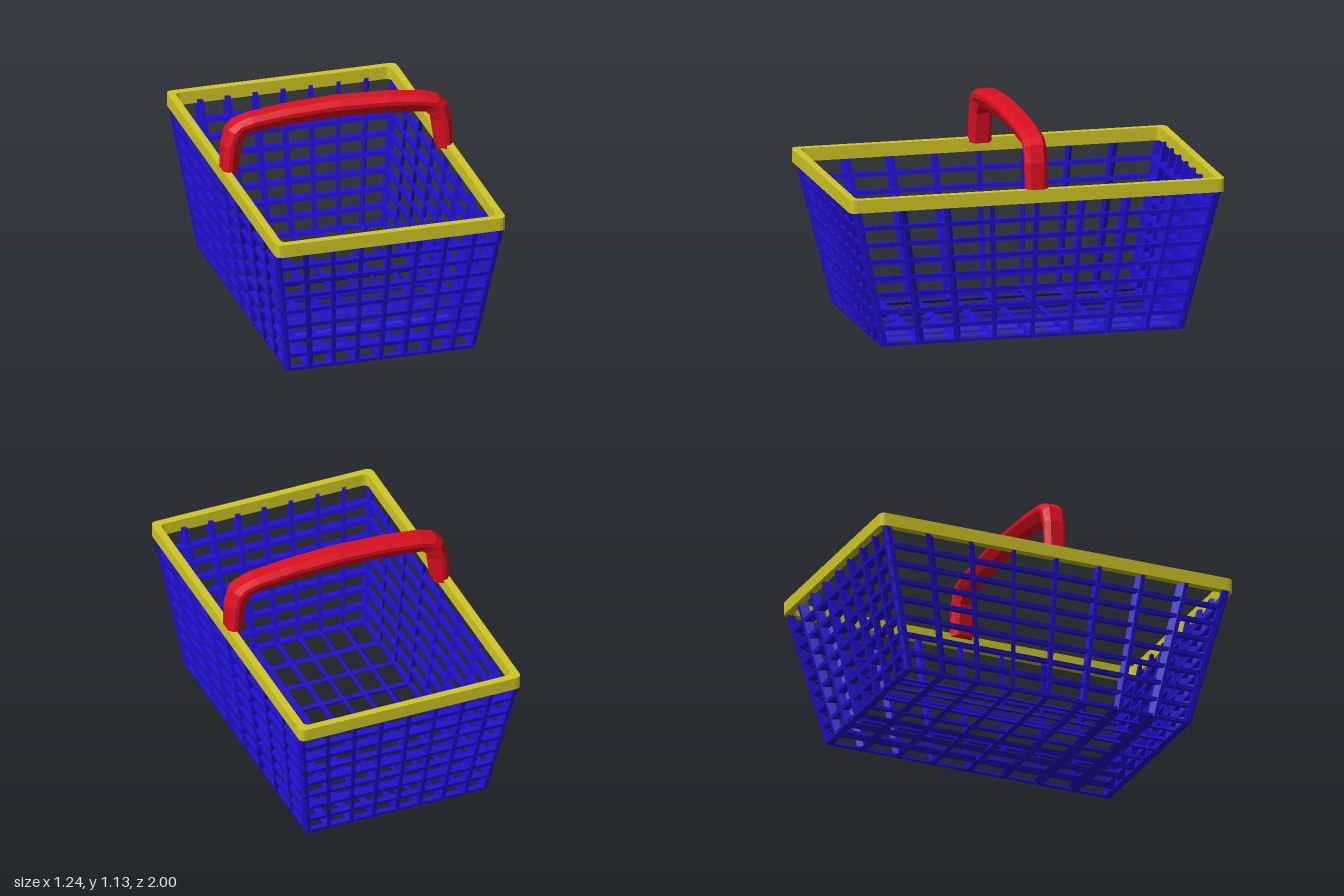
import * as THREE from 'three';
import { mergeGeometries } from 'three/addons/utils/BufferGeometryUtils.js';

const H = 0.74;        // wall height below the rim
const INNER = 0.955;   // inner shell relative to the outer shell
const halfX = (y) => 0.51 + 0.105 * y / H;
const halfZ = (y) => 0.81 + 0.17 * y / H;

// Flat-shaded solid through convex loops of [x, y, z], capped at both ends.
function loft(loops) {
  const tris = [];
  const n = loops[0].length;
  for (let i = 0; i < loops.length - 1; i++) {
    const a = loops[i], b = loops[i + 1];
    for (let j = 0; j < n; j++) {
      const k = (j + 1) % n;
      tris.push([a[j], a[k], b[k]], [a[j], b[k], b[j]]);
    }
  }
  const first = loops[0], last = loops[loops.length - 1];
  for (let j = 1; j < n - 1; j++) {
    tris.push([first[0], first[j + 1], first[j]], [last[0], last[j], last[j + 1]]);
  }
  // Turn the solid outward if its signed volume is negative.
  let volume = 0;
  for (const t of tris) {
    const [a, b, c] = t.map((p) => new THREE.Vector3(...p));
    volume += a.dot(b.cross(c));
  }
  if (volume < 0) tris.forEach((t) => t.reverse());
  const geo = new THREE.BufferGeometry();
  geo.setAttribute('position', new THREE.Float32BufferAttribute(tris.flat(2), 3));
  geo.computeVertexNormals();
  return geo;
}

function roundedRect(target, x, z, r) {
  target.moveTo(-x + r, -z);
  target.lineTo(x - r, -z);
  target.quadraticCurveTo(x, -z, x, -z + r);
  target.lineTo(x, z - r);
  target.quadraticCurveTo(x, z, x - r, z);
  target.lineTo(-x + r, z);
  target.quadraticCurveTo(-x, z, -x, z - r);
  target.lineTo(-x, -z + r);
  target.quadraticCurveTo(-x, -z, -x + r, -z);
  return target;
}

export function createModel() {
  const group = new THREE.Group();
  const blue = new THREE.MeshStandardMaterial({ color: 0x2010d0 });
  const yellow = new THREE.MeshStandardMaterial({ color: 0xd0c824 });
  const red = new THREE.MeshStandardMaterial({ color: 0xdd1020 });
  const add = (name, geo, material) => {
    const mesh = new THREE.Mesh(geo, material);
    mesh.name = name;
    group.add(mesh);
  };

  // Upright slats, leaning with the walls
  const w = 0.011;
  const ends = [0, 0.76];
  const uprights = [];
  for (const side of [-1, 1]) {
    for (let i = -3; i <= 3; i++) {
      const f = i / 4;
      uprights.push(loft(ends.map((y) => {
        const x = f * halfX(y), z = side * halfZ(y);
        return [[x - w, y, z], [x + w, y, z], [x * INNER + w, y, z * INNER], [x * INNER - w, y, z * INNER]];
      })));
      uprights.push(loft(ends.map((y) => {
        const x = side * halfX(y), z = f * halfZ(y);
        return [[x, y, z - w], [x, y, z + w], [x * INNER, y, z * INNER + w], [x * INNER, y, z * INNER - w]];
      })));
    }
  }
  add('uprightSlats', mergeGeometries(uprights), blue);

  // Corner posts with a chamfered outer edge
  const posts = [];
  for (const sx of [-1, 1]) {
    for (const sz of [-1, 1]) {
      posts.push(loft(ends.map((y) => {
        const x = halfX(y), z = halfZ(y), c = 0.012;
        return [[x - c, z], [x, z - c], [x, z - 0.04], [x - 0.028, z - 0.04], [x - 0.028, z]]
          .map(([px, pz]) => [sx * px, y, sz * pz]);
      })));
    }
  }
  add('cornerPosts', mergeGeometries(posts), blue);

  // Horizontal rings, mitred at the corners
  const rings = [];
  for (let level = 0; level < 8; level++) {
    const y0 = level === 0 ? 0 : level * H / 8 - 0.008;
    const y1 = y0 + (level === 0 ? 0.016 : 0.021);
    const corner = (sx, sz) => [[y0, 1], [y1, 1], [y1, INNER], [y0, INNER]].map(([y, s]) => {
      const c = level === 0 ? 0.004 : 0.002;
      return [sx * (halfX(y) - c) * s, y, sz * (halfZ(y) - c) * s];
    });
    for (const s of [-1, 1]) {
      rings.push(loft([corner(-1, s), corner(1, s)]));
      rings.push(loft([corner(s, -1), corner(s, 1)]));
    }
  }
  add('wallRings', mergeGeometries(rings), blue);

  // Floor grid
  const floor = [];
  const t = 0.016;
  for (let i = -3; i <= 3; i++) {
    const x = i / 4 * 0.51, z = i / 4 * 0.81;
    floor.push(loft([-0.79, 0.79].map((e) =>
      [[x - w, 0, e], [x + w, 0, e], [x * INNER + w, t, e], [x * INNER - w, t, e]])));
    floor.push(loft([-0.5, 0.5].map((e) =>
      [[e, 0, z - 0.016], [e, 0, z + 0.016], [e, t, z * INNER + 0.016], [e, t, z * INNER - 0.016]])));
  }
  add('floorGrid', mergeGeometries(floor), blue);

  // Rim band
  const band = roundedRect(new THREE.Shape(), 0.62, 1, 0.035);
  band.holes.push(roundedRect(new THREE.Path(), 0.58, 0.96, 0.03));
  const rim = new THREE.ExtrudeGeometry(band, { depth: 0.07, bevelEnabled: false, curveSegments: 4 });
  rim.rotateX(-Math.PI / 2);
  rim.translate(0, 0.74, 0);
  add('rim', rim, yellow);

  // Handle: [outer x, outer y, inner x, inner y] from the rim to the middle
  const half = [
    [0.62, 0.79, 0.54, 0.79],
    [0.615, 0.95, 0.515, 0.955],
    [0.59, 1.04, 0.49, 0.99],
    [0.55, 1.075, 0.47, 1.008],
    [0.47, 1.1, 0.42, 1.013],
    [0.27, 1.123, 0.25, 1.029],
    [0, 1.135, 0, 1.037],
  ];
  const path = [...half, ...half.slice(0, -1).reverse().map(([a, b, c, d]) => [-a, b, -c, d])];
  // Section: [z, depth from the outer face to the inner face]
  const section = [[-0.035, 0], [0.035, 0], [0.06, 0.28], [0.06, 0.5],
    [0.035, 1], [-0.035, 1], [-0.06, 0.5], [-0.06, 0.28]];
  add('handle', loft(path.map(([ox, oy, ix, iy]) =>
    section.map(([z, d]) => [ox + (ix - ox) * d, oy + (iy - oy) * d, z]))), red);

  return group;
}
